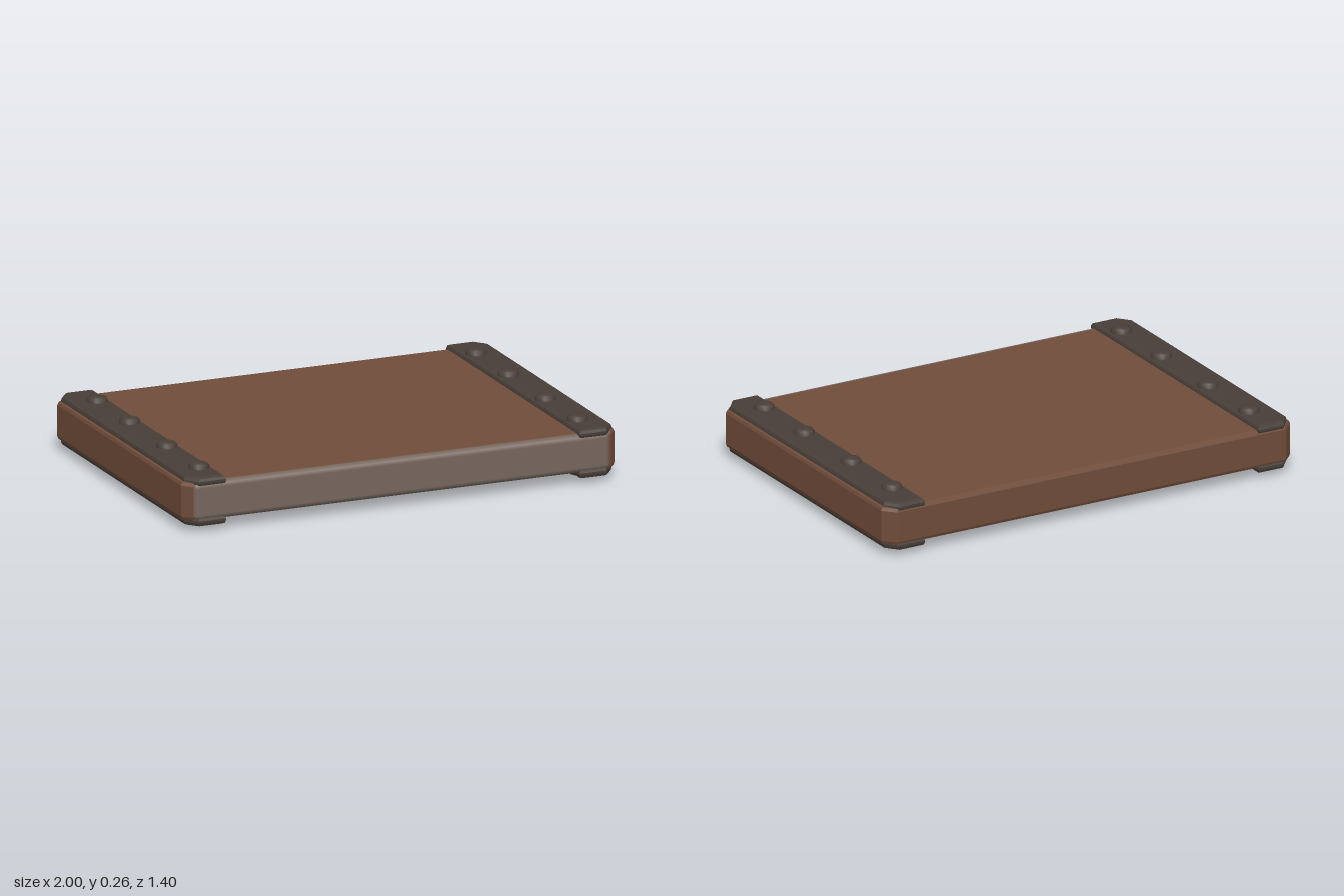
import * as THREE from 'three';
import { RoundedBoxGeometry } from 'three/addons/geometries/RoundedBoxGeometry.js';

const brown = new THREE.MeshStandardMaterial({ color: 0x704c3a });
brown.name = 'brownWood';
const iron = new THREE.MeshStandardMaterial({ color: 0x483e38 });
iron.name = 'darkIron';
const grey = new THREE.MeshStandardMaterial({ color: 0x75665e });
grey.name = 'greyFront';

const MID = 0.1325; // height of the middle plane

function add(parent, name, geometry, material) {
  const mesh = new THREE.Mesh(geometry, material);
  mesh.name = name;
  parent.add(mesh);
  return mesh;
}

// Horizontal plate from [x, z] outline points, between heights y0 and y1
function plate(points, y0, y1, bevel = 0) {
  const shape = new THREE.Shape(points.map(([x, z]) => new THREE.Vector2(x, -z)));
  const geometry = new THREE.ExtrudeGeometry(shape, {
    depth: y1 - y0 - 2 * bevel,
    bevelEnabled: bevel > 0,
    bevelThickness: bevel,
    bevelSize: bevel,
    bevelOffset: -bevel,
    bevelSegments: 2,
  });
  return geometry.rotateX(-Math.PI / 2).translate(0, y0 + bevel, 0);
}

// Rivet with a sloped skirt and a low dome
function rivetGeometry() {
  const profile = [[0.046, 0.1], [0.046, 0.114], [0.038, 0.126], [0.024, 0.1315], [0, 0.1325]];
  return new THREE.LatheGeometry(profile.map(([r, y]) => new THREE.Vector2(r, y)), 14);
}

export function createModel() {
  const model = new THREE.Group();
  model.name = 'slab';
  const body = new THREE.Group();
  body.name = 'body';
  body.position.y = MID;
  model.add(body);

  // Wooden board with cut corners
  add(body, 'board', plate([
    [-1, -0.65], [-0.95, -0.7], [0.95, -0.7], [1, -0.65],
    [1, 0.65], [0.965, 0.685], [-0.965, 0.685], [-1, 0.65],
  ], -0.084, 0.088, 0.018), brown);

  // Grey facing along the front edge
  const front = add(body, 'frontFacing', new RoundedBoxGeometry(1.92, 0.168, 0.06, 3, 0.025), grey);
  front.position.set(0, 0.002, 0.67);

  // Dark wavy bands across the underside
  for (const z of [-0.35, 0.37]) {
    const near = [], far = [];
    for (let i = 0; i <= 16; i++) {
      const x = -0.84 + i * 0.105;
      near.push([x, z - 0.13 + 0.014 * Math.sin(i * 1.3)]);
      far.unshift([x, z + 0.13 + 0.014 * Math.sin(i * 1.1 + 1)]);
    }
    add(body, 'undersideBand', plate([...near, ...far], -0.088, -0.082), iron);
  }

  // Iron straps and rivets, above and below at both ends
  const strap = plate([
    [0.815, -0.7], [0.94, -0.7], [0.985, -0.645],
    [0.985, 0.645], [0.94, 0.7], [0.815, 0.7],
  ], 0.066, 0.1075, 0.016);
  const rivet = rivetGeometry();
  for (const end of [0, 1]) {
    for (const below of [0, 1]) {
      const side = new THREE.Group();
      side.name = (end ? 'right' : 'left') + (below ? 'Lower' : 'Upper') + 'Strap';
      body.add(side);
      // half turns keep the outward faces outward
      if (below && end) side.rotation.z = Math.PI;
      else if (below) side.rotation.x = Math.PI;
      else if (end) side.rotation.y = Math.PI;
      const flipZ = below !== end ? -1 : 1;
      add(side, 'strap', strap, iron);
      for (const z of [-0.52, -0.18, 0.21, 0.545]) {
        add(side, 'rivet', rivet, iron).position.set(0.873, 0, z * flipZ);
      }
    }
  }
  return model;
}
